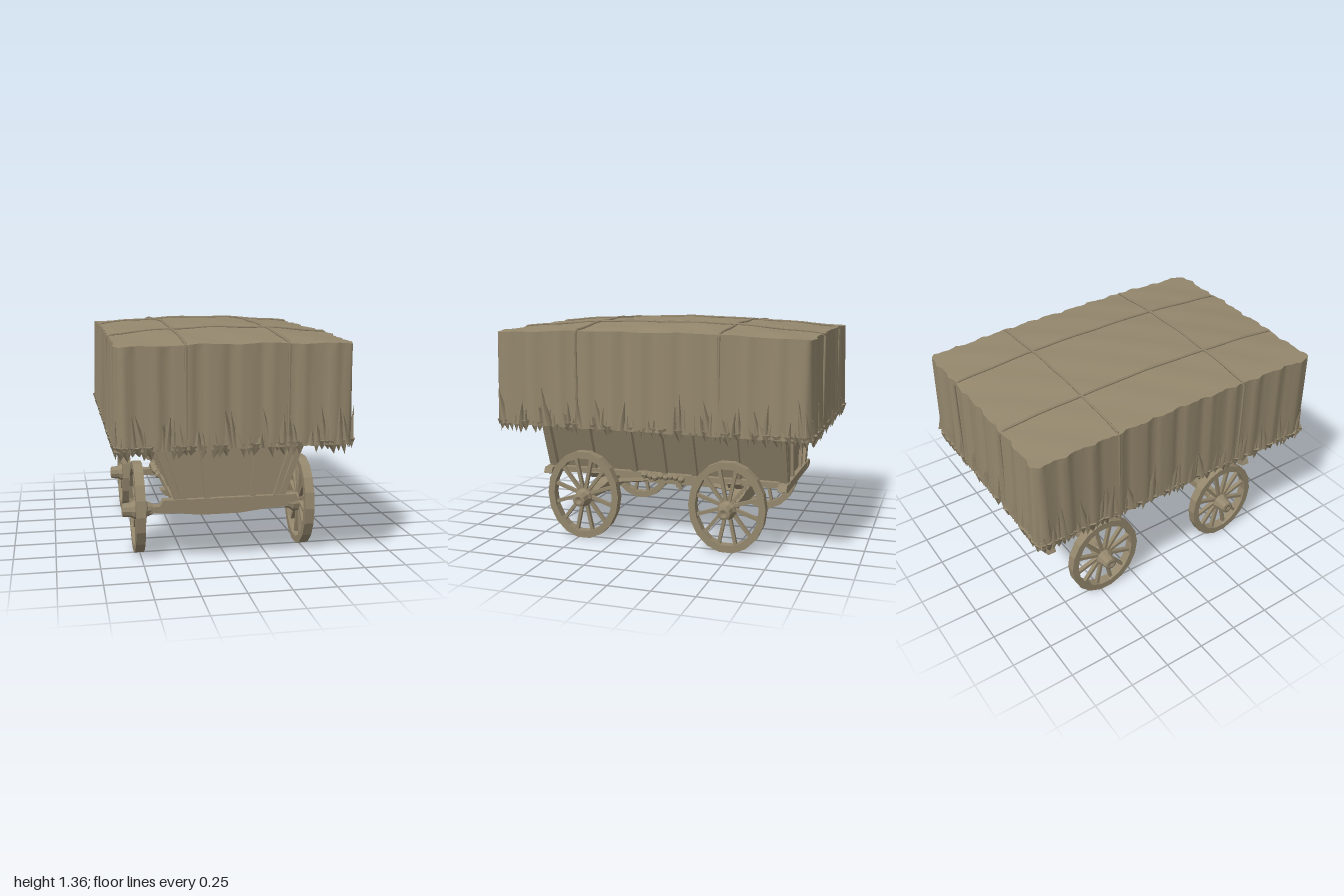
import * as THREE from 'three';
import { mergeGeometries } from 'three/addons/utils/BufferGeometryUtils.js';

const wood = new THREE.MeshStandardMaterial({ color: 0x94876d });
wood.name = 'weathered brown';

let seed = 7;
const rand = () => (seed = (seed * 16807) % 2147483647) / 2147483647;
const between = (a, b) => a + (b - a) * rand();

function add(group, name, geometry) {
  const mesh = new THREE.Mesh(geometry, wood);
  mesh.name = name;
  group.add(mesh);
  return mesh;
}

function box(group, name, w, h, d, x, y, z) {
  return add(group, name, new THREE.BoxGeometry(w, h, d).translate(x, y, z));
}

// Square timber running from a to b
function beam(group, name, a, b, w, d) {
  const from = new THREE.Vector3(...a), to = new THREE.Vector3(...b);
  const dir = to.clone().sub(from);
  const mesh = add(group, name, new THREE.BoxGeometry(w, dir.length(), d));
  mesh.position.copy(from).add(to).multiplyScalar(0.5);
  mesh.quaternion.setFromUnitVectors(new THREE.Vector3(0, 1, 0), dir.normalize());
  return mesh;
}

function plate(points, depth, z) {
  const shape = new THREE.Shape(points.map(p => new THREE.Vector2(...p)));
  return new THREE.ExtrudeGeometry(shape, { depth, bevelEnabled: false }).translate(0, 0, z - depth / 2);
}

const HX = 0.66, HZ = 0.97, TOP = 1.3, LOW = 0.745;
const roofY = (x, z) => {
  const u = Math.min(1, Math.abs(x / HX)), v = Math.min(1, Math.abs(z / HZ));
  return TOP + 0.012 * (1 - u * u) + 0.055 * (1 - v * v) * (1 - 0.6 * u * u)
    + 0.004 * Math.sin(x * 17 + z * 5) * Math.cos(z * 13);
};
const pleat = t => 0.007 * Math.sin(t * 38) + 0.005 * Math.sin(t * 71 + 1);

// Draped cover: a box whose faces sag, pleat and bulge
function coverGeometry() {
  const g = new THREE.BoxGeometry(2 * HX, 1, 2 * HZ, 44, 8, 64);
  const p = g.attributes.position;
  for (let i = 0; i < p.count; i++) {
    let x = p.getX(i), z = p.getZ(i);
    const t = p.getY(i) + 0.5;
    const edgeX = Math.abs(x) > HX - 1e-4, edgeZ = Math.abs(z) > HZ - 1e-4;
    const inner = !edgeX && !edgeZ;
    const bottom = LOW + 0.01 * Math.sin(x * 31 + z * 23) + (inner ? 0.035 : 0);
    const y = bottom + t * (roofY(x, z) - bottom);
    const flare = 0.012 * (1 - t);
    if (edgeX && edgeZ) {
      x -= Math.sign(x) * 0.012;
      z -= Math.sign(z) * 0.012;
    } else if (edgeX) x += Math.sign(x) * (flare + pleat(z));
    else if (edgeZ) z += Math.sign(z) * (flare + pleat(x));
    p.setXYZ(i, x, y, z);
  }
  g.computeVertexNormals();
  return g;
}

// Flattened pointed tufts around the hem, rising or hanging
function tuftGeometry() {
  const tufts = [];
  const tuft = (along, side, onX, up) => {
    const h = up ? between(0.07, 0.25) : between(0.05, 0.085);
    const g = new THREE.ConeGeometry(between(0.022, 0.045), h, 4);
    g.scale(1, 1, up ? 0.4 : 0.6);
    if (!up) g.rotateX(Math.PI);
    g.rotateZ(between(-0.22, 0.22));
    g.translate(0, up ? 0.74 + h / 2 : 0.765 - h / 2, 0);
    if (onX) g.rotateY(Math.PI / 2);
    const out = side * ((onX ? HX : HZ) + 0.006);
    g.translate(onX ? out : along, 0, onX ? along : out);
    tufts.push(g);
  };
  for (const side of [-1, 1]) for (const onX of [true, false]) {
    const half = onX ? HZ : HX;
    for (let a = -half + 0.02; a < half - 0.02; a += 0.032) {
      tuft(a, side, onX, true);
      if (rand() < 0.6 || half - Math.abs(a) < 0.2) tuft(a, side, onX, false);
    }
  }
  return mergeGeometries(tufts);
}

function rope(group, points) {
  const path = new THREE.CurvePath();
  const pts = points.map(p => new THREE.Vector3(...p));
  for (let i = 1; i < pts.length; i++) path.add(new THREE.LineCurve3(pts[i - 1], pts[i]));
  add(group, 'coverRope', new THREE.TubeGeometry(path, 60, 0.008, 5));
}

// Wheel with its hub on the x axis, outer end towards +x
function makeWheel() {
  const wheel = new THREE.Group();
  wheel.name = 'wheel';
  const rim = new THREE.Shape().absellipse(0, 0, 0.238, 0.28, 0, Math.PI * 2);
  rim.holes.push(new THREE.Path().absellipse(0, 0, 0.196, 0.236, 0, Math.PI * 2, true));
  const rimGeo = new THREE.ExtrudeGeometry(rim, { depth: 0.056, bevelEnabled: false, curveSegments: 9 });
  add(wheel, 'rim', rimGeo.translate(0, 0, -0.028).rotateY(Math.PI / 2));
  const profile = [[0, -0.095], [0.032, -0.095], [0.045, -0.06], [0.057, -0.05], [0.057, 0.02],
    [0.045, 0.04], [0.04, 0.09], [0.025, 0.095], [0, 0.085]].map(p => new THREE.Vector2(...p));
  const hub = new THREE.LatheGeometry(profile, 10).rotateZ(-Math.PI / 2).toNonIndexed();
  hub.computeVertexNormals();
  add(wheel, 'hub', hub);
  for (let i = 0; i < 12; i++) {
    const a = (i + 0.5) / 12 * Math.PI * 2, c = Math.cos(a), s = Math.sin(a);
    beam(wheel, 'spoke', [0, s * 0.04, c * 0.04], [0, s * 0.248, c * 0.206], 0.024, 0.02);
  }
  return wheel;
}

export function createModel() {
  const wagon = new THREE.Group();
  wagon.name = 'wagon';

  // Cover with ragged hem and ropes
  const cover = new THREE.Group();
  cover.name = 'cover';
  wagon.add(cover);
  add(cover, 'drapedCover', coverGeometry());
  add(cover, 'raggedHem', tuftGeometry());
  const steps = Array.from({ length: 17 }, (_, i) => i / 8 - 1);
  for (const x of [-0.285, 0.285]) {
    const e = HZ + 0.01;
    rope(cover, [[x, 0.8, -e], ...steps.map(s => [x, roofY(x, s * HZ) + 0.004, s * e]), [x, 0.8, e]]);
  }
  for (const z of [-0.45, 0.43]) {
    const e = HX + 0.01;
    rope(cover, [[-e, 0.78, z], ...steps.map(s => [s * e, roofY(s * HX, z) + 0.004, z]), [e, 0.78, z]]);
  }

  // Tapered wagon box
  const body = new THREE.Group();
  body.name = 'body';
  wagon.add(body);
  const half = y => 0.305 + (y - 0.4) * 0.36;
  const hull = new THREE.BoxGeometry(2, 0.45, 1.54).translate(0, 0.625, 0);
  const p = hull.attributes.position;
  for (let i = 0; i < p.count; i++) p.setX(i, p.getX(i) * (half(p.getY(i)) - 0.015));
  hull.computeVertexNormals();
  add(body, 'panels', hull);
  for (const s of [-1, 1]) {
    for (const z of [-0.765, -0.48, -0.2, 0, 0.2, 0.48, 0.765])
      beam(body, 'sidePost', [s * half(0.38), 0.38, z], [s * half(0.82), 0.82, z], 0.035, Math.abs(z) > 0.7 ? 0.05 : 0.035);
    for (const e of [-1, 1]) {
      beam(body, 'endCornerPost', [s * 0.265, 0.39, e * 0.775], [s * 0.405, 0.82, e * 0.775], 0.03, 0.03);
      beam(body, 'endPost', [s * 0.13, 0.39, e * 0.775], [s * 0.175, 0.82, e * 0.775], 0.032, 0.03);
    }
    box(body, 'sideSill', 0.04, 0.035, 1.6, s * 0.315, 0.393, 0);
    box(body, 'floorJoist', 0.045, 0.035, 1.54, s * 0.11, 0.39, 0);
  }
  for (const z of [-0.77, 0.77]) {
    const bar = [[-0.41, 0.375], [-0.36, 0.36], [0.36, 0.36], [0.41, 0.375], [0.39, 0.41], [-0.39, 0.41]];
    add(body, 'endSill', plate(bar, 0.055, z));
  }
  for (const z of [-0.24, 0, 0.24]) box(body, 'crossJoist', 0.64, 0.03, 0.05, 0, 0.388, z);

  // Lumpy bundles hung below each side sill
  for (const s of [-1, 1]) for (let i = 0; i < 8; i++) {
    const lump = new THREE.IcosahedronGeometry(between(0.022, 0.03), 0);
    add(body, 'sideBundle', lump.translate(s * between(0.33, 0.35), between(0.385, 0.405), -0.12 + i * 0.034));
  }

  // Running gear: axles, bolsters, reach pole
  const gear = new THREE.Group();
  gear.name = 'runningGear';
  wagon.add(gear);
  const axle = [[-0.46, 0.25], [-0.27, 0.24], [-0.12, 0.222], [0.12, 0.222], [0.27, 0.24], [0.46, 0.25],
    [0.46, 0.282], [0.25, 0.292], [0.15, 0.315], [-0.15, 0.315], [-0.25, 0.292], [-0.46, 0.282]];
  const bolster = [[-0.17, 0.305], [0.17, 0.305], [0.07, 0.33], [0.34, 0.355], [0.37, 0.39],
    [-0.37, 0.39], [-0.34, 0.355], [-0.07, 0.33]];
  for (const z of [-0.465, 0.465]) {
    add(gear, 'axle', plate(axle, 0.07, z));
    add(gear, 'bolster', plate(bolster, 0.08, z));
    const pin = new THREE.CylinderGeometry(0.024, 0.024, 0.08, 8);
    add(gear, 'kingPin', pin.translate(0, 0.345, z + Math.sign(z) * 0.04));
    for (const s of [-1, 1]) {
      beam(gear, 'hound', [s * 0.14, 0.28, z], [0, 0.28, z * 0.45], 0.025, 0.025);
      const wheel = makeWheel();
      wheel.position.set(s * 0.507, 0.285, z);
      if (s < 0) wheel.rotation.y = Math.PI;
      for (const part of wheel.children) if (part.name === 'hub') part.position.y = -0.018;
      gear.add(wheel);
    }
  }
  box(gear, 'reachPole', 0.04, 0.035, 0.93, 0, 0.28, 0);
  box(gear, 'reachCollar', 0.06, 0.065, 0.04, 0, 0.278, 0);
  beam(gear, 'reachPin', [0, 0.225, 0], [0, 0.39, 0], 0.016, 0.016);
  return wagon;
}
